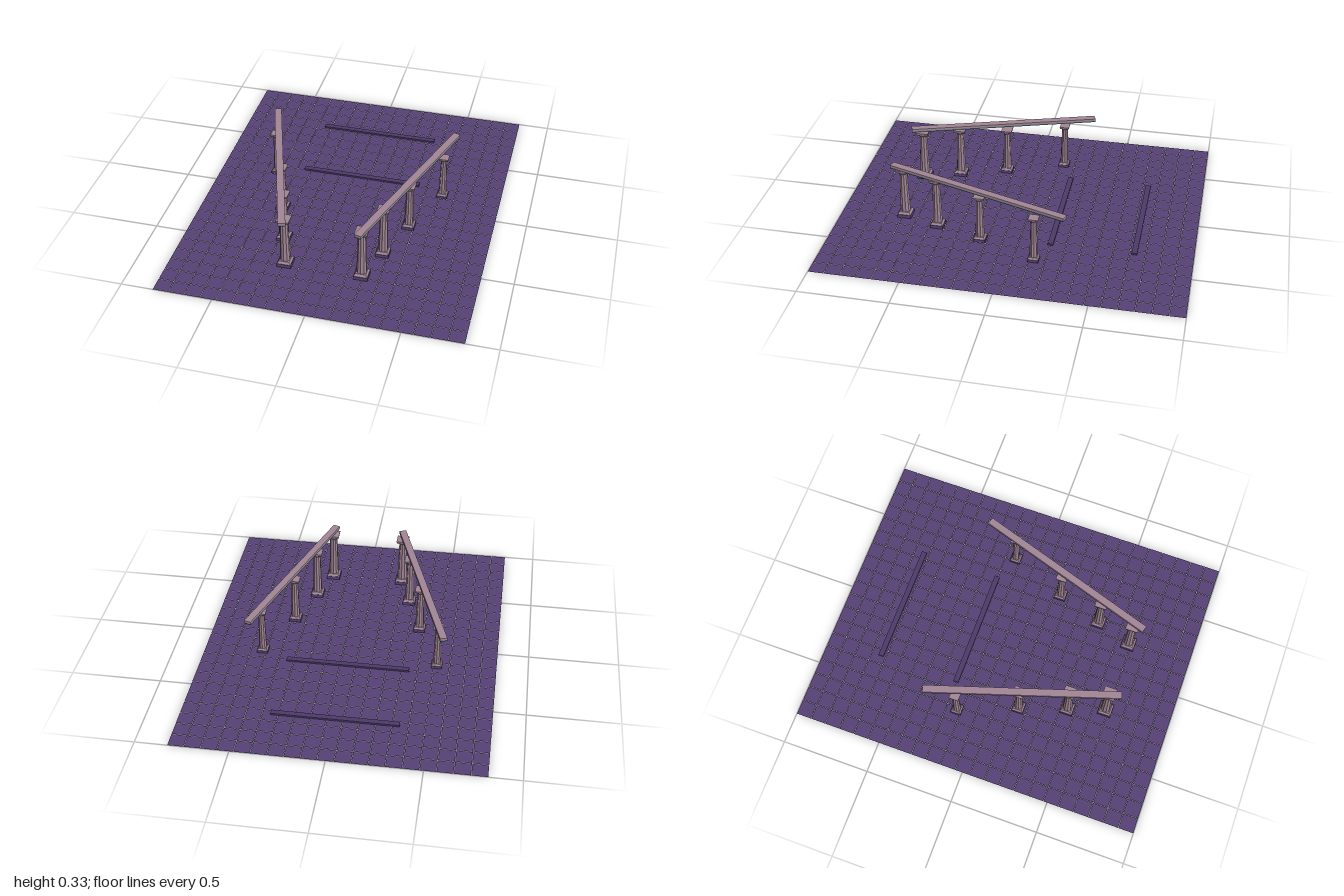
import * as THREE from 'three';
import { mergeGeometries } from 'three/addons/utils/BufferGeometryUtils.js';

export function createModel() {
  const root = new THREE.Group();
  root.name = 'colonnadePlaza';
  const mat = (name, color, extra = {}) => {
    const m = new THREE.MeshStandardMaterial({ color, flatShading: true, ...extra });
    m.name = name;
    return m;
  };
  const floorMat = mat('purple floor', 0x574276, { side: THREE.DoubleSide });
  const plinthMat = mat('purple plinth', 0x5b4577);
  const stepMat = mat('dark purple step', 0x4d3b69);
  const stone = mat('pink stone', 0xa48898);
  const teal = mat('teal trim', 0x47706e);

  const add = (parent, name, geo, material, x = 0, y = 0, z = 0) => {
    const m = new THREE.Mesh(geo, material);
    m.name = name;
    m.position.set(x, y, z);
    parent.add(m);
    return m;
  };

  // Square frustum, standing on y = 0
  const frustum = (bottom, top, h) => new THREE.CylinderGeometry(
    top * Math.SQRT1_2, bottom * Math.SQRT1_2, h, 4, 1)
    .rotateY(Math.PI / 4).translate(0, h / 2, 0);

  // Floor of flat square tiles with narrow open joints
  const cols = 19, rows = 23, pitch = 2 / rows, gap = 0.002;
  const tiles = [];
  for (let i = 0; i < cols; i++) {
    for (let j = 0; j < rows; j++) {
      tiles.push(new THREE.PlaneGeometry(pitch - gap, pitch - gap)
        .rotateX(-Math.PI / 2)
        .translate((i - (cols - 1) / 2) * pitch, 0, (j - (rows - 1) / 2) * pitch));
    }
  }
  add(root, 'floorTiles', mergeGeometries(tiles), floorMat);

  // Low steps across the back
  for (const z of [-0.68, -0.22]) {
    add(root, 'floorStep', new THREE.BoxGeometry(0.69, 0.01, 0.03), stepMat, 0, 0.009, z);
  }

  // Tapered shaft with shallow flutes
  function shaftGeometry(r0, r1, h) {
    const g = new THREE.CylinderGeometry(r1, r0, h, 20, 1, true);
    const p = g.attributes.position;
    for (let i = 0; i < p.count; i++) {
      const k = (i % 21) % 2 ? 0.88 : 1;
      p.setX(i, p.getX(i) * k);
      p.setZ(i, p.getZ(i) * k);
    }
    return g.translate(0, h / 2, 0);
  }

  function column(w, top) {
    const g = new THREE.Group();
    g.name = 'column';
    const y0 = 0.006, plinth = w * 0.26, collar = w * 0.16;
    const cap = w * 0.17, flare = w * 0.2;
    const shaftY = y0 + plinth + collar, capY = top - cap;
    add(g, 'plinth', frustum(w, w, plinth), plinthMat, 0, y0, 0);
    add(g, 'baseCollar', frustum(w * 0.95, w * 0.72, collar), stone, 0, y0 + plinth, 0);
    add(g, 'shaft', shaftGeometry(w * 0.37, w * 0.28, capY - flare - shaftY), stone, 0, shaftY, 0);
    add(g, 'capitalFlare', new THREE.CylinderGeometry(w * 0.42, w * 0.28, flare, 16)
      .translate(0, flare / 2, 0), stone, 0, capY - flare, 0);
    add(g, 'capital', frustum(w * 0.84, w * 0.9, cap), stone, 0, capY, 0);
    return g;
  }

  // Two mirrored rows: x, z, base width, top height
  const places = [
    [0.21, 0.635, 0.078, 0.312],
    [0.278, 0.43, 0.074, 0.312],
    [0.364, 0.168, 0.068, 0.289],
    [0.493, -0.155, 0.061, 0.278],
  ];
  for (const s of [1, -1]) {
    const row = new THREE.Group();
    row.name = s > 0 ? 'leftColonnade' : 'rightColonnade';
    for (const [x, z, w, top] of places) {
      const c = column(w, top);
      c.position.set(s * x, 0, z);
      row.add(c);
    }
    // Slanting beam with a teal underside
    const beam = new THREE.Group();
    beam.name = 'beam';
    beam.position.set(s * 0.367, 0.31, 0.187);
    beam.rotation.y = -s * 0.312;
    add(beam, 'beamTop', new THREE.BoxGeometry(0.04, 0.013, 1.08), stone, 0, 0.0135, 0);
    add(beam, 'beamUnderside', new THREE.BoxGeometry(0.039, 0.007, 1.079), teal, 0, 0.0035, 0);
    row.add(beam);
    root.add(row);
  }
  return root;
}
